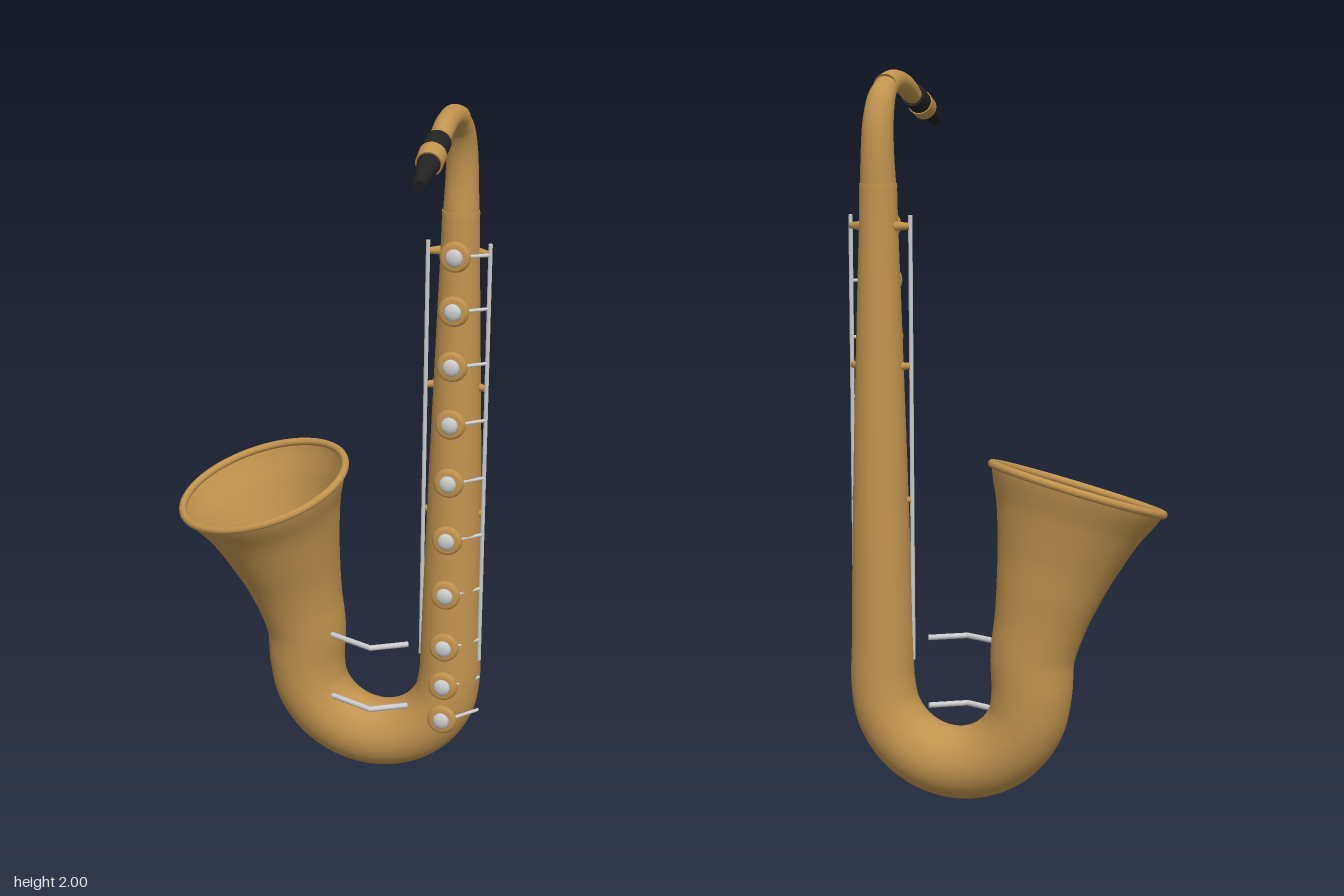
import * as THREE from 'three';

const V = (x, y, z) => new THREE.Vector3(x, y, z);
const mat = (color) => new THREE.MeshStandardMaterial({ color, side: THREE.DoubleSide });
const brass = mat(0xc0934e), black = mat(0x222222), steel = mat(0xcccccc);

// Round tube through [x, y, z, radius] points; ref is a direction across the bend
function sweep(pts, ref, steps, seg = 48) {
  const path = new THREE.CatmullRomCurve3(pts.map(p => V(p[0], p[1], p[2])));
  const radii = new THREE.SplineCurve(pts.map((p, i) => new THREE.Vector2(i, p[3])));
  const pos = [], idx = [];
  for (let i = 0; i <= steps; i++) {
    const t = i / steps, c = path.getPoint(t), T = path.getTangent(t), r = radii.getPoint(t).y;
    const n = ref.clone().addScaledVector(T, -ref.dot(T)).normalize();
    const b = T.clone().cross(n);
    for (let j = 0; j < seg; j++) {
      const a = j / seg * Math.PI * 2;
      const p = c.clone().addScaledVector(n, r * Math.cos(a)).addScaledVector(b, r * Math.sin(a));
      pos.push(p.x, p.y, p.z);
      if (i < steps) {
        const k = i * seg, j2 = (j + 1) % seg;
        idx.push(k + j, k + j2, k + seg + j, k + j2, k + seg + j2, k + seg + j);
      }
    }
  }
  const g = new THREE.BufferGeometry();
  g.setAttribute('position', new THREE.Float32BufferAttribute(pos, 3));
  g.setIndex(idx);
  g.computeVertexNormals();
  return { geometry: g, path };
}

export function createModel() {
  const model = new THREE.Group();
  const add = (name, geometry, material, parent = model) => {
    const m = new THREE.Mesh(geometry, material);
    m.name = name;
    parent.add(m);
    return m;
  };
  // Straight rod or cone between two points
  const rod = (name, a, b, r0, r1, material, parent, seg = 12) => {
    const d = b.clone().sub(a);
    const m = add(name, new THREE.CylinderGeometry(r1, r0, d.length(), seg), material, parent);
    m.position.copy(a).add(b).multiplyScalar(0.5);
    m.quaternion.setFromUnitVectors(V(0, 1, 0), d.normalize());
    return m;
  };

  // Body, bow and bell as one widening tube
  const pts = [[0.348, 1.69, -0.16, 0.051], [0.348, 1.35, -0.161, 0.061],
    [0.348, 1, -0.162, 0.072], [0.347, 0.65, -0.163, 0.081], [0.346, 0.42, -0.163, 0.086]];
  for (let i = 0; i <= 8; i++) {
    const a = -i / 8 * Math.PI;
    pts.push([0.13 + 0.215 * Math.cos(a), 0.315 + 0.213 * Math.sin(a), -0.163, 0.089 + 0.0027 * i]);
  }
  pts.push([-0.087, 0.42, -0.16, 0.116], [-0.105, 0.51, -0.153, 0.126], [-0.126, 0.6, -0.143, 0.145],
    [-0.148, 0.69, -0.128, 0.17], [-0.171, 0.78, -0.113, 0.201], [-0.195, 0.873, -0.095, 0.243]);
  const body = sweep(pts, V(0, 0, 1), 180, 64);
  add('bodyBowAndBell', body.geometry, brass);

  // Rolled bell rim
  const rim = add('bellRim', new THREE.TorusGeometry(0.243, 0.011, 12, 72), brass);
  rim.position.copy(body.path.getPoint(1));
  rim.quaternion.setFromUnitVectors(V(0, 0, 1), body.path.getTangent(1));

  // Neck in two pieces with a collar at the joint
  const X = 0.348;
  add('neckLower', sweep([[X, 1.68, -0.16, 0.049], [X, 1.78, -0.164, 0.045], [X, 1.86, -0.156, 0.042],
    [X, 1.92, -0.13, 0.038], [X, 1.957, -0.085, 0.032]], V(1, 0, 0), 32).geometry, brass);
  add('neckUpper', sweep([[X, 1.955, -0.095, 0.034], [X, 1.97, -0.04, 0.031], [X, 1.971, 0.01, 0.029],
    [X, 1.962, 0.06, 0.029], [X, 1.944, 0.11, 0.028]], V(1, 0, 0), 32).geometry, brass);
  rod('neckCollar', V(X, 1.683, -0.16), V(X, 1.695, -0.16), 0.052, 0.051, brass, model, 48);
  rod('neckEnd', V(X, 1.946, 0.105), V(X, 1.931, 0.145), 0.025, 0.025, brass, model, 32);

  // Mouthpiece
  const mouth = new THREE.Group();
  mouth.name = 'mouthpiece';
  model.add(mouth);
  rod('shank', V(X, 1.937, 0.134), V(X, 1.915, 0.198), 0.034, 0.033, black, mouth, 32);
  rod('ligature', V(X, 1.917, 0.192), V(X, 1.901, 0.236), 0.036, 0.035, brass, mouth, 32);
  rod('beak', V(X, 1.904, 0.23), V(X, 1.867, 0.341), 0.031, 0.016, black, mouth, 32);

  // Key cups with a button and an arm to the right-hand rod
  const cup = new THREE.LatheGeometry([[0, -0.012], [0.03, -0.012], [0.04, 0], [0.043, 0.008],
    [0.041, 0.016], [0.033, 0.022], [0, 0.022]].map(p => new THREE.Vector2(...p)), 32);
  cup.rotateX(Math.PI / 2);
  const button = new THREE.SphereGeometry(0.025, 10, 8).scale(1, 1, 0.5);
  [1.58, 1.43, 1.275, 1.11, 0.94, 0.77, 0.605, 0.445, 0.325, 0.22].forEach(y => {
    const key = new THREE.Group();
    key.name = 'key';
    const z = -0.16 + 0.051 + (1.69 - y) * 0.0285;
    key.position.set(X, y, z);
    add('keyCup', cup, brass, key);
    add('keyButton', button, steel, key).position.z = 0.021;
    rod('keyArm', V(0.02, 0, 0.004), V(0.087, 0, -0.146 - z), 0.005, 0.005, steel, key);
    model.add(key);
  });

  // Long rods on both sides of the body, held by posts
  for (const s of [-1, 1]) {
    const x = X + s * 0.086;
    rod('keyRod', V(x, 0.38, -0.146), V(x, 1.61, -0.146), 0.006, 0.006, steel);
    for (const y of [1.58, 1.2, 0.83, 0.43])
      rod('rodPost', V(X + s * 0.045, y, -0.168), V(x - s * 0.003, y, -0.15), 0.014, 0.009, brass);
  }

  // Bent braces between bell and body
  for (const y of [0.43, 0.235]) {
    const p = [V(0.01, y, -0.092), V(0.14, y, -0.033), V(0.237, y, -0.088)];
    rod('brace', p[0], p[1], 0.008, 0.008, steel);
    rod('brace', p[1], p[2], 0.008, 0.008, steel);
    add('braceBend', new THREE.SphereGeometry(0.008, 12, 8), steel).position.copy(p[1]);
  }
  return model;
}
